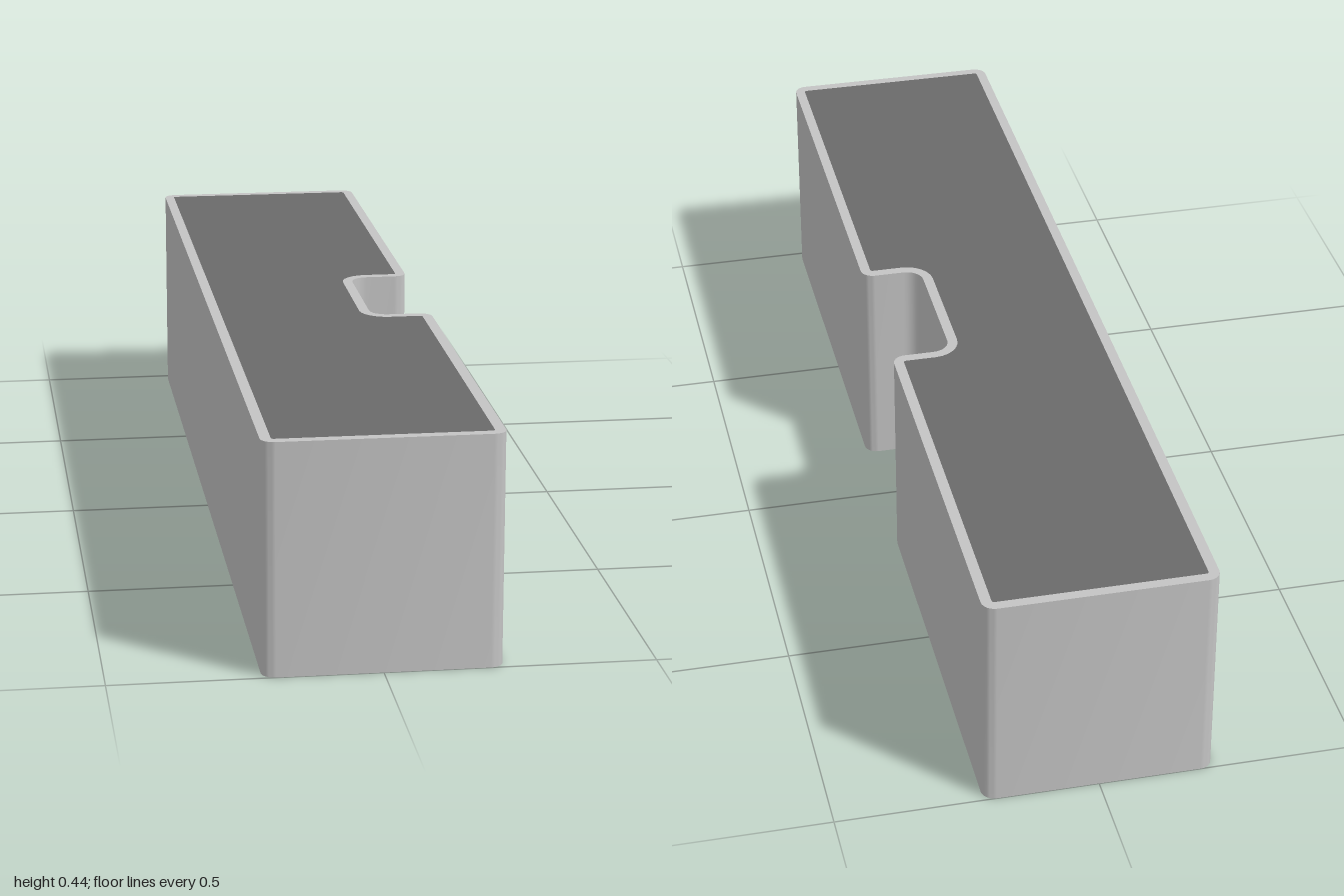
import * as THREE from 'three';
import { toCreasedNormals } from 'three/addons/utils/BufferGeometryUtils.js';

const HEIGHT = 0.44, RIM = 0.02;

// Notched rectangle with rounded corners, shrunk by an inset
function outline(inset) {
  const x = 0.22 - inset, z = 1 - inset, nx = 0.1 - inset, nz = 0.155 + inset;
  const outer = 0.025 - inset, inner = 0.035 + inset;
  const corners = [
    [-x, -z, outer], [x, -z, outer], [x, -nz, outer], [nx, -nz, inner],
    [nx, nz, inner], [x, nz, outer], [x, z, outer], [-x, z, outer],
  ];
  const points = [];
  corners.forEach(([cx, cy, r], i) => {
    const c = new THREE.Vector2(cx, cy);
    const toward = (j) => {
      const [px, py] = corners[(j + 8) % 8];
      return new THREE.Vector2(px, py).sub(c).normalize().multiplyScalar(r);
    };
    const a = toward(i - 1), b = toward(i + 1);
    // Circular arc about the fillet centre
    for (let k = 0; k <= 6; k++) {
      const t = (k / 6) * Math.PI / 2;
      points.push(c.clone().addScaledVector(a, 1 - Math.sin(t)).addScaledVector(b, 1 - Math.cos(t)));
    }
  });
  return points;
}

// Open vertical skin following the outline
function wallGeometry(points) {
  const position = [], index = [], n = points.length;
  points.forEach((p, i) => {
    position.push(p.x, 0, -p.y, p.x, HEIGHT, -p.y);
    const a = 2 * i, b = 2 * ((i + 1) % n);
    index.push(a, b, b + 1, a, b + 1, a + 1);
  });
  const geometry = new THREE.BufferGeometry();
  geometry.setAttribute('position', new THREE.Float32BufferAttribute(position, 3));
  geometry.setIndex(index);
  return toCreasedNormals(geometry, 0.6);
}

// Flat horizontal face at the top of the box
function topGeometry(shape) {
  return new THREE.ShapeGeometry(shape).rotateX(-Math.PI / 2).translate(0, HEIGHT, 0);
}

export function createModel() {
  const lightGrey = new THREE.MeshStandardMaterial({ color: 0xc4c4c4, side: THREE.DoubleSide });
  lightGrey.name = 'light grey';
  const darkGrey = new THREE.MeshStandardMaterial({ color: 0x6a6a6a, side: THREE.DoubleSide });
  darkGrey.name = 'dark grey';

  const model = new THREE.Group();
  model.name = 'notchedBox';
  const add = (name, geometry, material) => {
    const mesh = new THREE.Mesh(geometry, material);
    mesh.name = name;
    model.add(mesh);
  };

  const outer = outline(0), inner = outline(RIM);
  const rim = new THREE.Shape(outer);
  rim.holes.push(new THREE.Path(inner));

  add('walls', wallGeometry(outer), lightGrey); // open underneath
  add('rim', topGeometry(rim), lightGrey);
  add('topPanel', topGeometry(new THREE.Shape(inner)), darkGrey);
  return model;
}
